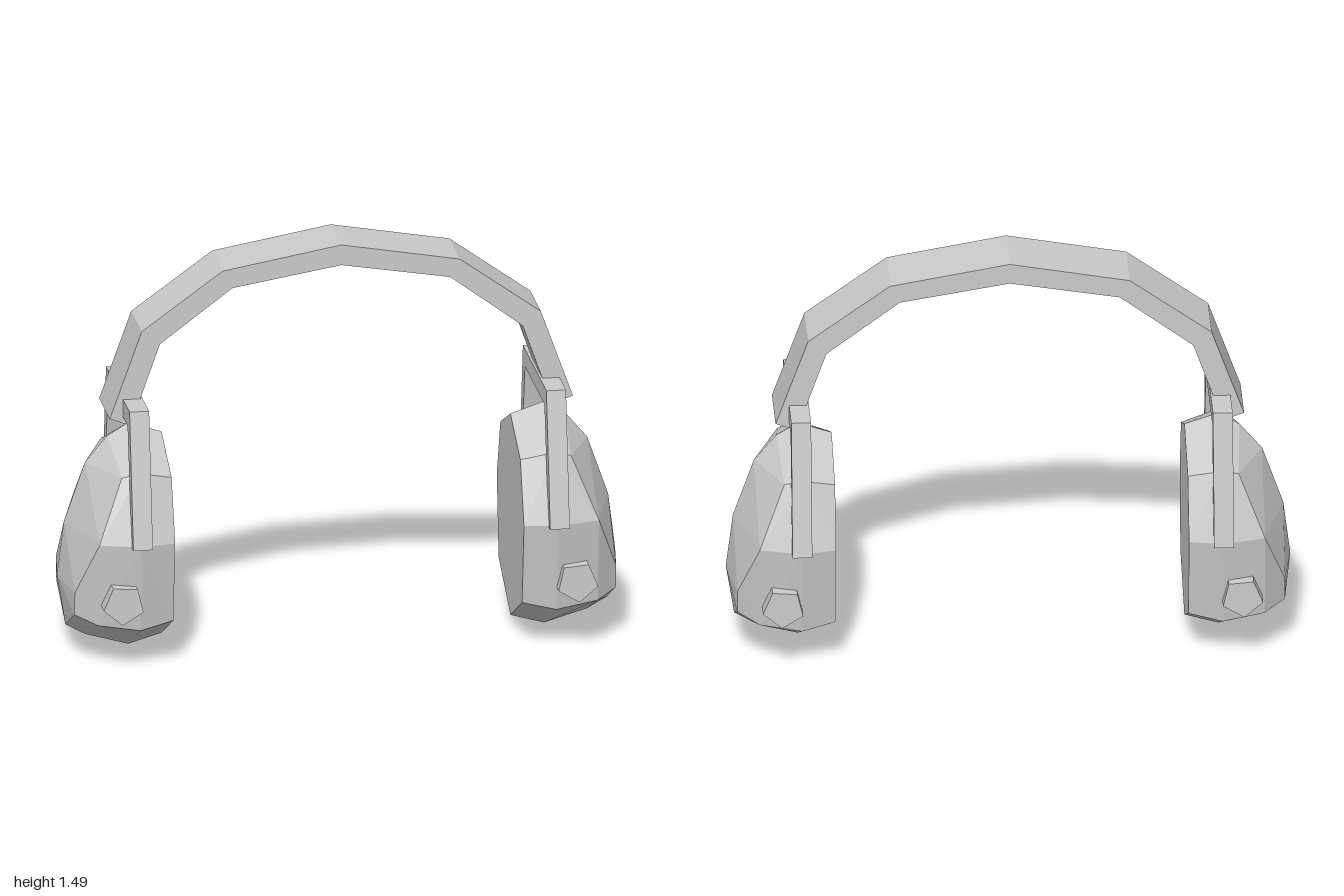
import * as THREE from 'three';
import { ConvexGeometry } from 'three/addons/geometries/ConvexGeometry.js';

const material = new THREE.MeshStandardMaterial({ color: 0xcccccc, flatShading: true });

function part(name, geometry, parent) {
  const mesh = new THREE.Mesh(geometry, material);
  mesh.name = name;
  parent.add(mesh);
  return mesh;
}

function extrude(points, depth) {
  const shape = new THREE.Shape(points.map(([x, y]) => new THREE.Vector2(x, y)));
  return new THREE.ExtrudeGeometry(shape, { depth, bevelEnabled: false }).translate(0, 0, -depth / 2);
}

// Mirrors the right half of a line of points to the left, ending where it began
const mirrored = (pts) => pts.filter(([x]) => x > 0).reverse().map(([x, y]) => [-x, y]);

// Half of the faceted ear cup as [x, y, z]; points off the centre line are mirrored in z
const CUP = [
  // flat inner face
  [0.625, 0.79, 0], [0.625, 0.69, 0.22], [0.625, 0.47, 0.3], [0.625, 0.17, 0.26], [0.625, 0.04, 0],
  // widest ring
  [0.745, 0.83, 0], [0.745, 0.72, 0.25], [0.745, 0.47, 0.325], [0.745, 0.145, 0.28], [0.745, 0.005, 0],
  // shoulder
  [0.82, 0.785, 0], [0.805, 0.7, 0.23], [0.895, 0.475, 0.295], [0.895, 0.165, 0.26], [0.9, 0.05, 0],
  // outer face and its central ridge
  [0.9, 0.69, 0], [0.975, 0.475, 0], [1.0, 0.275, 0], [0.97, 0.275, 0.21], [0.97, 0.19, 0.2], [0.97, 0.09, 0],
];

function createEarpiece(side) {
  const group = new THREE.Group();
  group.name = side > 0 ? 'leftEarpiece' : 'rightEarpiece';

  const points = [];
  for (const [x, y, z] of CUP) {
    points.push(new THREE.Vector3(side * x, y, z));
    if (z > 0) points.push(new THREE.Vector3(side * x, y, -z));
  }
  part('earCup', new ConvexGeometry(points), group);

  // Forked yoke straddling the cup
  const outer = [[0.345, 0.465], [0.26, 0.955]];
  const inner = [[0.305, 0.465], [0.215, 0.89]];
  const outline = [...outer, ...mirrored(outer), ...mirrored(inner).reverse(), ...inner.slice().reverse()];
  const yoke = part('yoke', extrude(outline, 0.07).rotateY(Math.PI / 2), group);
  yoke.position.x = side * 0.747;

  // Five-sided knobs on the front and back of the cup
  for (const end of [1, -1]) {
    const knob = part('knob', new THREE.CylinderGeometry(0.075, 0.075, 0.11, 5).rotateX(Math.PI / 2), group);
    knob.position.set(side * 0.813, 0.26, end * 0.28);
    knob.rotation.z = side * 0.08;
  }
  return group;
}

export function createModel() {
  const model = new THREE.Group();
  model.name = 'headphones';

  // Faceted headband arch
  const outer = [[0, 1.49], [0.425, 1.415], [0.715, 1.205], [0.83, 0.885]];
  const inner = [[0, 1.415], [0.39, 1.35], [0.65, 1.155], [0.755, 0.857]];
  const outline = [...mirrored(outer), ...outer, ...inner.slice().reverse(), ...mirrored(inner).reverse()];
  part('headband', extrude(outline, 0.235), model);

  for (const side of [1, -1]) model.add(createEarpiece(side));
  return model;
}
